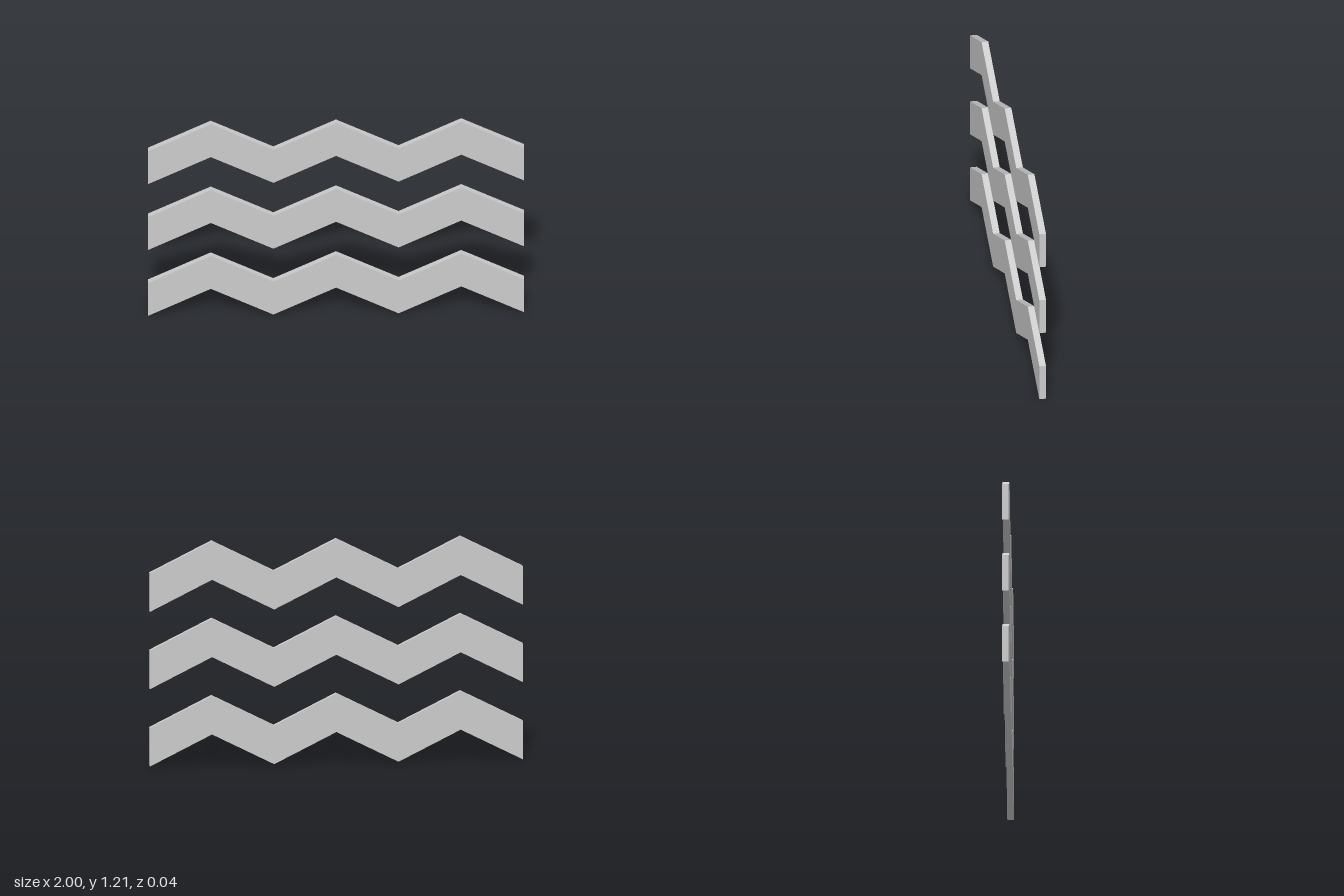
import * as THREE from 'three';

const HALF_WIDTH = 1;
const SEGMENTS = 6;      // straight runs per band
const RISE = 1 / 6;      // height of each zigzag peak
const BAND = 0.208;      // vertical width of a band
const SPACING = 0.417;   // vertical distance between bands
const DEPTH = 0.036;

// Zigzag outline: lower edge left to right, then upper edge back
function zigzagShape() {
  const lower = [];
  for (let i = 0; i <= SEGMENTS; i++) {
    const x = -HALF_WIDTH + (2 * HALF_WIDTH * i) / SEGMENTS;
    lower.push(new THREE.Vector2(x, i % 2 ? RISE : 0));
  }
  const upper = lower.map((p) => new THREE.Vector2(p.x, p.y + BAND)).reverse();
  return new THREE.Shape([...lower, ...upper]);
}

export function createModel() {
  const group = new THREE.Group();
  group.name = 'zigzagBands';
  const material = new THREE.MeshStandardMaterial({ color: 0xcccccc, flatShading: true });
  const geometry = new THREE.ExtrudeGeometry(zigzagShape(), { depth: DEPTH, bevelEnabled: false });
  geometry.translate(0, 0, -DEPTH / 2);

  // Three identical bands stacked upwards
  ['lowerBand', 'middleBand', 'upperBand'].forEach((name, i) => {
    const band = new THREE.Mesh(geometry, material);
    band.name = name;
    band.position.y = i * SPACING;
    group.add(band);
  });
  return group;
}
